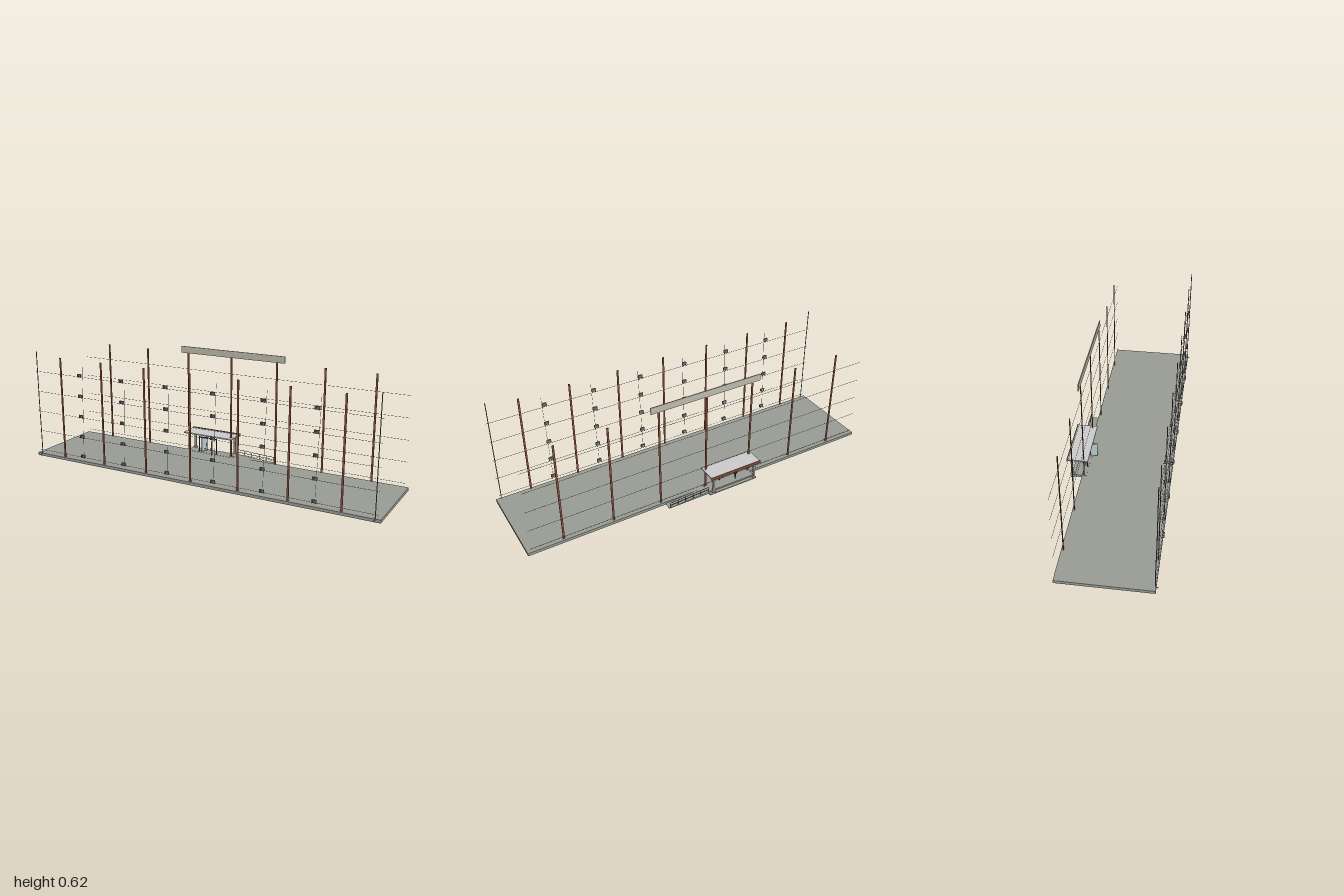
import * as THREE from 'three';

const paint = (color) => new THREE.MeshStandardMaterial({ color });
const concrete = paint(0x999b95), brown = paint(0x8a4f3a), stone = paint(0xbdb9ac),
  grey = paint(0xcccccc), metal = paint(0x6f7a78), dark = paint(0x3c4042), glass = paint(0xb4c8cf);

// Box given by its lower and upper bounds on each axis
function box(parent, name, mat, [x0, x1], [y0, y1], [z0, z1]) {
  const mesh = new THREE.Mesh(new THREE.BoxGeometry(x1 - x0, y1 - y0, z1 - z0), mat);
  mesh.position.set((x0 + x1) / 2, (y0 + y1) / 2, (z0 + z1) / 2);
  mesh.name = name;
  parent.add(mesh);
  return mesh;
}

function group(parent, name) {
  const g = new THREE.Group();
  g.name = name;
  parent.add(g);
  return g;
}

// Outdoor cooling unit on two brackets, with a round fan grille
function coolingUnit(parent, x, y) {
  const unit = group(parent, 'coolingUnit');
  box(unit, 'unitCase', metal, [-0.012, 0.012], [-0.008, 0.008], [0.264, 0.272]);
  const fan = new THREE.Mesh(new THREE.CylinderGeometry(0.006, 0.006, 0.001, 16), dark);
  fan.name = 'fanGrille';
  fan.rotation.x = Math.PI / 2;
  fan.position.set(-0.003, 0, 0.2722);
  unit.add(fan);
  for (const s of [-1, 1])
    box(unit, 'unitBracket', dark, [s * 0.009 - 0.001, s * 0.009 + 0.001], [-0.01, -0.008], [0.256, 0.272]);
  unit.position.set(x, y, 0);
}

// Glazed door leaf hinged at its local origin, running along -z
function doorLeaf(parent, x, z, angle) {
  const leaf = group(parent, 'doorLeaf');
  box(leaf, 'doorGlass', glass, [-0.001, 0.001], [0.022, 0.098], [-0.037, -0.002]);
  for (const z0 of [-0.039, -0.002])
    box(leaf, 'doorStile', dark, [-0.0015, 0.0015], [0.02, 0.1], [z0, z0 + 0.002]);
  for (const y0 of [0.02, 0.098])
    box(leaf, 'doorRail', dark, [-0.0015, 0.0015], [y0, y0 + 0.002], [-0.039, 0]);
  box(leaf, 'doorHandle', dark, [-0.004, 0.004], [0.047, 0.063], [-0.035, -0.0335]);
  leaf.position.set(x, 0, z);
  leaf.rotation.y = angle;
}

export function createModel() {
  const model = new THREE.Group();
  model.name = 'buildingFacadeFittings';

  box(model, 'floorSlab', concrete, [-1, 1], [0, 0.016], [-0.2, 0.265]);

  // Vertical facade strips on both long sides
  for (let i = -3; i <= 3; i++) {
    const x = [i * 0.27 - 0.005, i * 0.27 + 0.005];
    box(model, 'frontStrip', brown, x, [0.018, 0.581], [0.256, 0.2595]);
    box(model, 'backStrip', brown, x, [0.018, 0.581], [-0.1915, -0.188]);
  }
  box(model, 'parapetPanel', stone, [-0.315, 0.315], [0.58, 0.617], [-0.195, -0.19]);

  // Hair-thin floor joints
  for (let k = 0; k < 5; k++) {
    const y = 0.035 + k * 0.1135;
    for (const z of [0.26, -0.196])
      box(model, 'floorJoint', metal, [-0.985, 0.985], [y, y + 0.0012], [z, z + 0.0012]);
  }

  // Rain pipes at the front corners
  for (const s of [-1, 1]) {
    const pipe = group(model, 'rainPipe');
    const path = new THREE.CatmullRomCurve3([
      [0, 0.605, 0.262], [0, 0.3, 0.262], [0, 0.02, 0.262], [0, 0.012, 0.265], [0, 0.009, 0.275],
    ].map((p) => new THREE.Vector3(...p)));
    const tube = new THREE.Mesh(new THREE.TubeGeometry(path, 48, 0.0022, 8), metal);
    tube.material.side = THREE.DoubleSide;
    tube.name = 'pipe';
    pipe.add(tube);
    pipe.position.x = s * 0.972;
  }

  // Cooling units: six columns on five floors, each column with a thin drain
  for (let i = 0; i < 6; i++) {
    const x = -0.68 + i * 0.271;
    for (let k = 0; k < 5; k++) coolingUnit(model, x + 0.003, 0.045 + k * 0.1135);
    const drain = box(model, 'drainHose', grey, [-0.0006, 0.0006], [-0.255, 0.255], [-0.0006, 0.0006]);
    drain.position.set(x + 0.012, 0.295, 0.261);
    drain.rotation.z = -0.03;
  }

  // Entrance porch with canopy
  const porch = group(model, 'entrancePorch');
  box(porch, 'porchFloor', concrete, [-0.275, 0.01], [0.005, 0.017], [-0.24, -0.178]);
  box(porch, 'porchStep', concrete, [-0.28, 0.012], [0.004, 0.009], [-0.258, -0.24]);
  box(porch, 'canopyRoof', grey, [-0.289, 0.014], [0.12, 0.127], [-0.271, -0.165]);
  box(porch, 'canopyFascia', brown, [-0.291, 0.016], [0.115, 0.131], [-0.275, -0.271]);
  for (const x of [-0.265, -0.01]) {
    box(porch, 'porchColumn', stone, [x - 0.005, x + 0.005], [0.01, 0.12], [-0.259, -0.249]);
    box(porch, 'columnBase', stone, [x - 0.009, x + 0.009], [0.016, 0.021], [-0.263, -0.245]);
  }

  // Door frame with glazing and two open leaves
  const door = group(model, 'entranceDoor');
  for (const x of [-0.2, -0.09])
    box(door, 'frameJamb', dark, [x - 0.002, x + 0.002], [0.017, 0.108], [-0.187, -0.182]);
  box(door, 'frameHead', dark, [-0.202, -0.088], [0.104, 0.108], [-0.187, -0.182]);
  doorLeaf(door, -0.186, -0.187, -0.45);
  doorLeaf(door, -0.115, -0.182, Math.PI + 0.35);

  // Access ramp sloping down from the porch, with handrail
  const ramp = group(model, 'accessRamp');
  const side = new THREE.Shape([[0.01, 0.005], [0.25, 0.005], [0.25, 0.007], [0.01, 0.018]]
    .map((p) => new THREE.Vector2(...p)));
  const slope = new THREE.Mesh(new THREE.ExtrudeGeometry(side, { depth: 0.045, bevelEnabled: false }), concrete);
  slope.name = 'rampSlope';
  slope.position.z = -0.243;
  ramp.add(slope);
  const posts = 6;
  for (let i = 0; i < posts; i++) {
    const x = 0.015 + i * 0.045, y = 0.018 - i * 0.002;
    box(ramp, 'railPost', dark, [x - 0.001, x + 0.001], [y - 0.003, y + 0.029], [-0.242, -0.24]);
  }
  for (const h of [0.015, 0.029]) {
    const rail = box(ramp, 'handrail', dark, [-0.114, 0.114], [-0.001, 0.001], [-0.242, -0.24]);
    rail.position.set(0.1275, 0.013 + h, -0.241);
    rail.rotation.z = -Math.atan(0.01 / 0.225);
  }
  return model;
}
